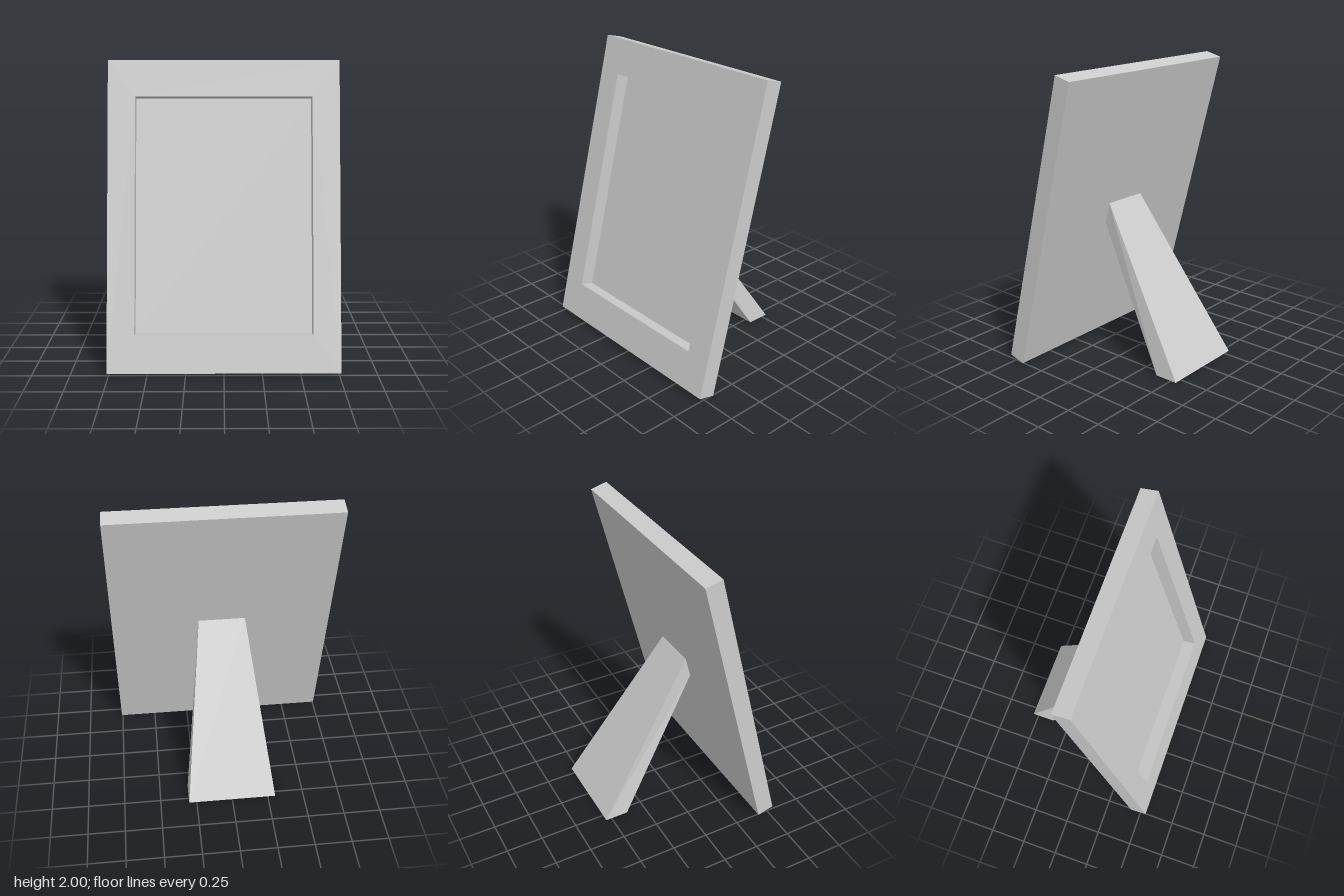
import * as THREE from 'three';

const WIDTH = 1.514, HEIGHT = 2.035, RECESS = 0.093, BACK = 0.026, TILT = 0.2533;

function rectangle(path, x, y0, y1) {
  path.moveTo(-x, y0);
  path.lineTo(x, y0);
  path.lineTo(x, y1);
  path.lineTo(-x, y1);
  path.closePath();
  return path;
}

export function createModel() {
  const model = new THREE.Group();
  model.name = 'pictureFrame';
  const material = new THREE.MeshStandardMaterial({ color: 0xcccccc, flatShading: true });

  const add = (parent, name, geometry) => {
    const mesh = new THREE.Mesh(geometry, material);
    mesh.name = name;
    parent.add(mesh);
    return mesh;
  };

  // Tilted panel, hinged on its lower front edge
  const panel = new THREE.Group();
  panel.name = 'tiltedPanel';
  panel.position.set(0, 0.03, 0.541);
  panel.rotation.x = -TILT;
  model.add(panel);

  // Border with the picture opening
  const outline = rectangle(new THREE.Shape(), WIDTH / 2, 0, HEIGHT);
  outline.holes.push(rectangle(new THREE.Path(), 0.579, 0.248, 1.797));
  const border = new THREE.ExtrudeGeometry(outline, { depth: RECESS, bevelEnabled: false });
  add(panel, 'border', border).position.z = -RECESS;

  // Backing board closing the recess
  const board = new THREE.BoxGeometry(WIDTH, HEIGHT, BACK);
  add(panel, 'backingBoard', board).position.set(0, HEIGHT / 2, -RECESS - BACK / 2);

  // Rear support leg: a box sheared to its side profile and widened at the foot
  const leg = new THREE.BoxGeometry(1, 1, 1);
  const p = leg.attributes.position;
  for (let i = 0; i < p.count; i++) {
    const top = p.getY(i) > 0, front = p.getZ(i) > 0;
    const x = Math.sign(p.getX(i)) * (top ? 0.16 : 0.303);
    const [z, y] = top ? (front ? [0.193, 0.915] : [0.156, 1.06])
                       : (front ? [-0.38, 0] : [-0.541, 0]);
    p.setXYZ(i, x, y, z);
  }
  leg.computeVertexNormals();
  add(model, 'supportLeg', leg);

  return model;
}
